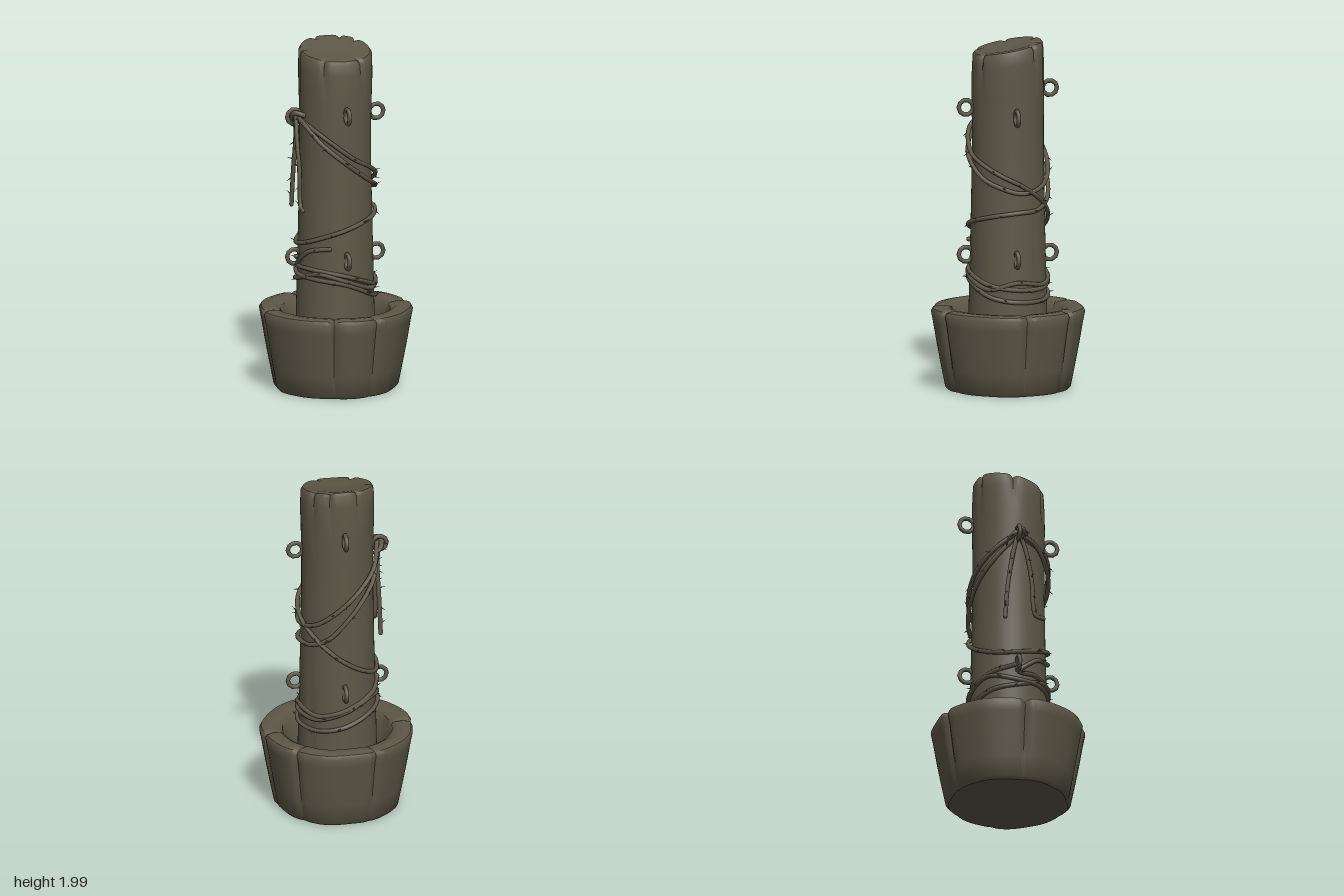
import * as THREE from 'three';
import { toCreasedNormals } from 'three/addons/utils/BufferGeometryUtils.js';

const RAD = Math.PI / 180;
const wood = new THREE.MeshStandardMaterial({ color: 0x5c5747 });
wood.name = 'darkWood';

// Signed difference between two angles in degrees
const angleGap = (a, b) => ((a - b + 540) % 360 + 360) % 360 - 180;
// Strength 0..1 of the nearest crack at an angle
const crack = (angle, cracks, width) =>
  Math.max(...cracks.map(c => Math.exp(-((angleGap(angle, c) / width) ** 2))));

// Lathe whose points are moved by rule(angle, radius, y) -> [radius, y]
function carvedLathe(profile, segments, rule, crease) {
  const geo = new THREE.LatheGeometry(profile.map(p => new THREE.Vector2(...p)), segments);
  const pos = geo.attributes.position;
  for (let i = 0; i < pos.count; i++) {
    const x = pos.getX(i), z = pos.getZ(i);
    const a = Math.atan2(x, z);
    const [r, y] = rule(a / RAD, Math.hypot(x, z), pos.getY(i));
    pos.setXYZ(i, r * Math.sin(a), y, r * Math.cos(a));
  }
  return toCreasedNormals(geo, crease);
}

function add(parent, name, geo) {
  const mesh = new THREE.Mesh(geo, wood);
  mesh.name = name;
  parent.add(mesh);
  return mesh;
}

// Point on the post's surface: angle in degrees from the front toward +x
const around = (deg, y, r = 0.226) =>
  new THREE.Vector3(r * Math.sin(deg * RAD), y, r * Math.cos(deg * RAD));

// Rope along points, with little frayed splinters
function rope(parent, name, points, splinters = 0, radius = 0.013) {
  const group = new THREE.Group();
  group.name = name;
  parent.add(group);
  const curve = new THREE.CatmullRomCurve3(points);
  const steps = Math.max(12, Math.round(curve.getLength() * 45));
  add(group, 'strand', new THREE.TubeGeometry(curve, steps, radius, 7));
  for (const t of [0, 1]) {
    const cap = add(group, 'ropeEnd', new THREE.SphereGeometry(radius * 1.05, 8, 6));
    cap.position.copy(curve.getPointAt(t));
  }
  const up = new THREE.Vector3(0, 1, 0);
  for (let i = 0; i < splinters; i++) {
    const t = (i + 0.5) / splinters;
    const p = curve.getPointAt(t);
    const out = new THREE.Vector3(p.x, 0, p.z).normalize();
    const dir = out.clone().addScaledVector(curve.getTangentAt(t), i % 2 ? 1 : -0.8)
      .addScaledVector(up, Math.sin(i * 2.3) * 0.5).normalize();
    const cone = add(group, 'splinter', new THREE.ConeGeometry(0.006, 0.045, 4));
    cone.position.copy(p).addScaledVector(dir, 0.022);
    cone.quaternion.setFromUnitVectors(up, dir);
  }
}

// A list of [angle, y] pairs laid on the post
const wrap = list => list.map(([a, y]) => around(a, y));

export function createModel() {
  const model = new THREE.Group();
  model.name = 'ropedPost';

  // Stone base: hollow tub split by grooves
  const baseCracks = [-18, 18, 93, 135, 201, 270];
  add(model, 'base', carvedLathe([
    [0, 0.008], [0.2, 0.008], [0.335, 0.008], [0.352, 0.025], [0.375, 0.14], [0.4, 0.27],
    [0.422, 0.4], [0.433, 0.455], [0.422, 0.475], [0.385, 0.483], [0.34, 0.478],
    [0.31, 0.46], [0.29, 0.4], [0.265, 0.3], [0.2, 0.28]
  ], 120, (a, r, y) => {
    const side = THREE.MathUtils.smoothstep(y, 0.0, 0.4);
    const cut = crack(a, baseCracks, 2.6) * (0.3 + 0.7 * side);
    const wave = 0.004 * Math.sin(a * RAD * 5 + 1) + 0.003 * Math.cos(a * RAD * 9);
    const outer = r > 0.33 ? 1 : 0;
    return [r + outer * (wave - 0.022 * cut), y - (y > 0.44 ? 0.014 * cut : 0)];
  }, 0.75));

  // Wooden post: waisted, sloping down to the front, cracked at the top
  const topCracks = [-36, 30, 126, 156, 204, 264];
  add(model, 'post', carvedLathe([
    [0.226, 0.25], [0.221, 0.48], [0.216, 0.7], [0.209, 1.0], [0.203, 1.3], [0.203, 1.55],
    [0.206, 1.7], [0.209, 1.8], [0.209, 1.88], [0.207, 1.945], [0.196, 1.963],
    [0.15, 1.963], [0.08, 1.95], [0, 1.945]
  ], 60, (a, r, y) => {
    const top = THREE.MathUtils.smoothstep(y, 1.68, 1.95);
    const rim = r > 0.19 ? 1 : 0;
    const cut = crack(a, topCracks, 4) * top * rim;
    // Broad chips flatten the front and back edge
    const chip = crack(a, [-3, 182], 22) * top * rim;
    const slope = -0.184 * r * Math.cos(a * RAD) * THREE.MathUtils.smoothstep(y, 1.5, 1.95);
    const split = crack(a, [126], 4) * rim * (y > 0.4 && y < 0.9 ? 0.01 : 0);
    return [r - 0.016 * cut - 0.012 * chip - split, y + slope - (y > 1.94 ? 0.012 * cut : 0)];
  }, 0.8));

  // Iron eyelets in two tiers: [angle, height]
  const eyelets = [[0, 1.62], [90, 1.585], [180, 1.715], [270, 1.585],
    [0, 0.78], [90, 0.775], [180, 0.775], [270, 0.775]];
  for (const [a, y] of eyelets) {
    const ring = add(model, 'eyelet', new THREE.TorusGeometry(0.042, 0.013, 8, 10));
    ring.position.copy(around(a, y, 0.242));
    ring.rotation.y = (a - 90) * RAD;
  }

  // Upper rope: looped through the eyelet and crossing the post
  rope(model, 'upperRope', wrap([[-92, 1.59], [-65, 1.55], [-35, 1.45], [0, 1.34], [40, 1.23], [70, 1.18],
    [100, 1.15], [135, 1.18], [165, 1.26], [200, 1.38], [235, 1.49], [268, 1.59]]), 14);
  rope(model, 'crossingRope', wrap([[268, 1.57], [235, 1.43], [205, 1.31], [180, 1.2], [155, 1.1], [125, 1.05],
    [90, 1.04], [45, 1.01], [0, 0.96], [-45, 0.9], [-80, 0.86], [-120, 0.85], [-155, 0.9],
    [-190, 0.99], [-225, 1.1], [-260, 1.19], [-290, 1.25], [-320, 1.31], [-350, 1.37], [-395, 1.5], [-446, 1.58]]), 18);

  // Lower rope: two and a half turns above the base
  rope(model, 'lowerRope', wrap([[-25, 0.85], [-55, 0.83], [-75, 0.78], [-88, 0.73], [-60, 0.725], [0, 0.69],
    [50, 0.625], [90, 0.6], [140, 0.6], [180, 0.65], [225, 0.71], [270, 0.68], [310, 0.67], [360, 0.64],
    [410, 0.56], [450, 0.53], [500, 0.53], [540, 0.56], [590, 0.62], [630, 0.65], [680, 0.7], [720, 0.66],
    [770, 0.6], [810, 0.64], [860, 0.62], [900, 0.66], [950, 0.73], [985, 0.77]]), 24);

  // Knot and loose ends hanging from the left-hand eyelet
  const V = (x, y, z) => new THREE.Vector3(x, y, z);
  rope(model, 'knot', [V(-0.2, 1.6, 0.05), V(-0.245, 1.61, 0.02), V(-0.245, 1.57, -0.03),
    V(-0.21, 1.55, -0.05)], 3, 0.015);
  rope(model, 'hangingEndBack', [V(-0.235, 1.59, 0), V(-0.225, 1.45, -0.03), V(-0.23, 1.25, -0.06),
    V(-0.235, 1.06, -0.075)], 5);
  rope(model, 'hangingEndFront', [V(-0.235, 1.59, 0.01), V(-0.24, 1.45, 0.05), V(-0.235, 1.28, 0.08),
    V(-0.235, 1.12, 0.09), V(-0.235, 1.08, 0.105), V(-0.235, 1.07, 0.145)], 5);

  return model;
}
